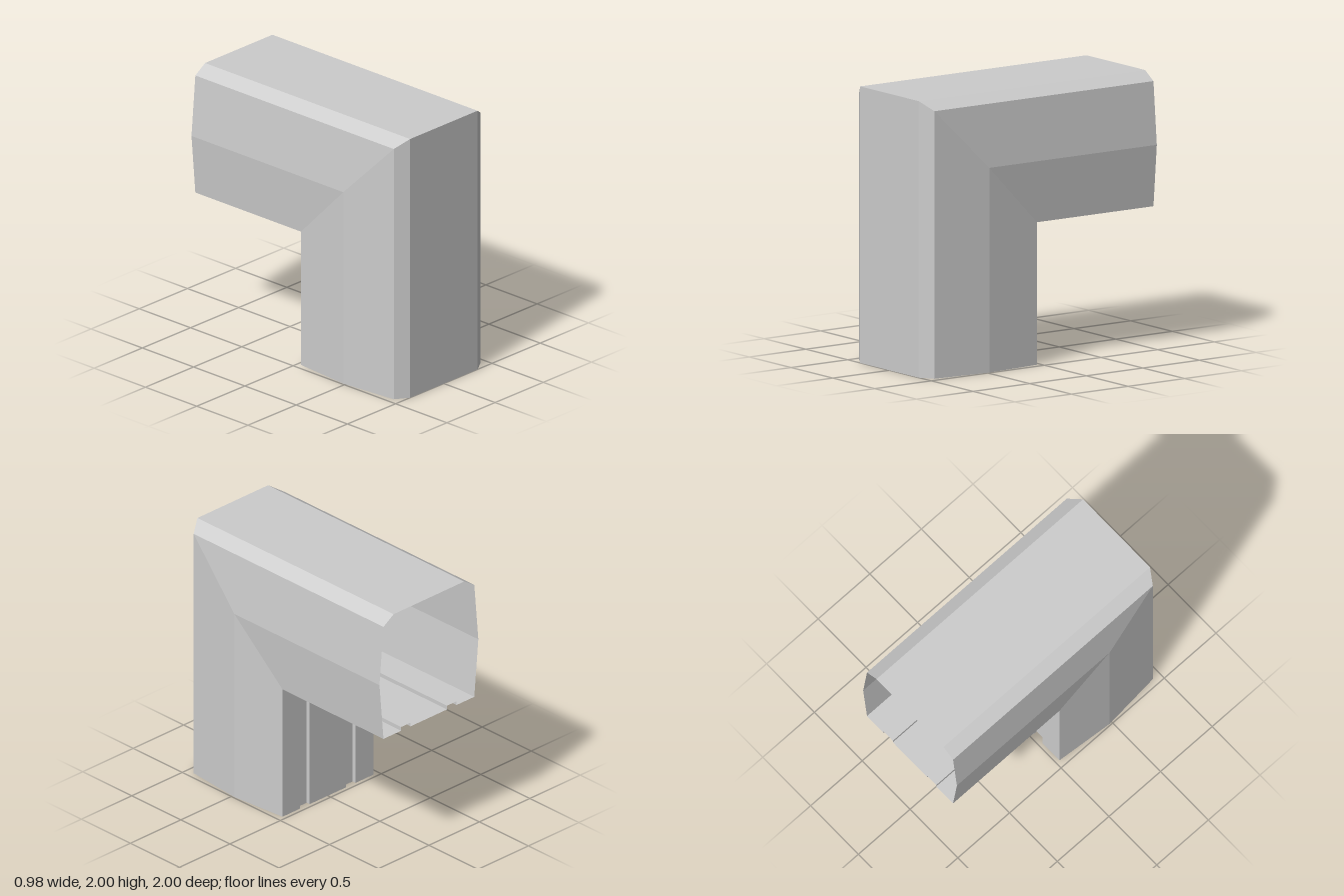
import * as THREE from 'three';

// Half of the duct cross-section: [x, distance from the outer wall]
const half = [
  [0.35, 0], [0.45, 0.065], [0.49, 0.52], [0.45, 0.97],
  [0.275, 0.97], [0.275, 0.94], [0.18, 0.94], [0.18, 0.97], // recessed groove
];
const section = [...half, ...half.map(([x, d]) => [-x, d]).reverse()];

// Stations along the elbow: open bottom, mitred corner, open back
const stations = [
  ([x, d]) => [x, 0, 1 - d],
  ([x, d]) => [x, 2 - d, 1 - d],
  ([x, d]) => [x, 2 - d, -1],
];

// Flat-sided sheet between two neighbouring stations
function ductGeometry(from, to) {
  const positions = [];
  section.forEach((p, i) => {
    const q = section[(i + 1) % section.length];
    const a = from(p), b = from(q), c = to(q), d = to(p);
    positions.push(...a, ...b, ...c, ...a, ...c, ...d);
  });
  const geometry = new THREE.BufferGeometry();
  geometry.setAttribute('position', new THREE.Float32BufferAttribute(positions, 3));
  geometry.computeVertexNormals();
  return geometry;
}

export function createModel() {
  const sheetGrey = new THREE.MeshStandardMaterial({
    color: 0xcccccc, side: THREE.DoubleSide, flatShading: true,
  });
  sheetGrey.name = 'sheetGrey';

  const group = new THREE.Group();
  group.name = 'elbowDuct';
  ['verticalDuct', 'horizontalDuct'].forEach((name, i) => {
    const mesh = new THREE.Mesh(ductGeometry(stations[i], stations[i + 1]), sheetGrey);
    mesh.name = name;
    group.add(mesh);
  });
  return group;
}
